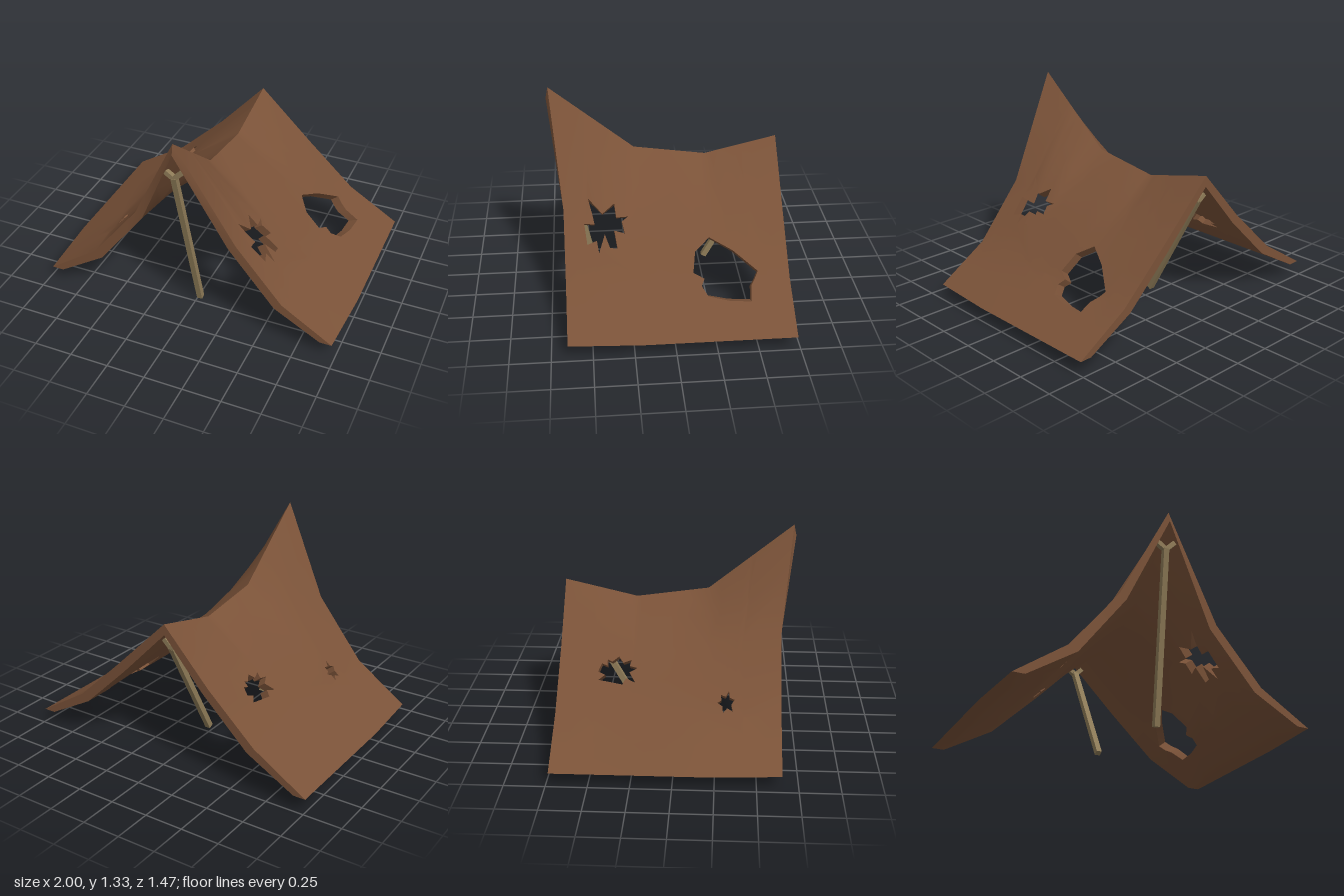
import * as THREE from 'three';
import { toCreasedNormals } from 'three/addons/utils/BufferGeometryUtils.js';

const hide = new THREE.MeshStandardMaterial({ color: 0x7a5238 });
const wood = new THREE.MeshStandardMaterial({ color: 0x8f7c58 });

// Control grid of the sheet: columns across x, rows from back to front
const cols = [-1, -0.65, -0.33, -0.02, 0.35, 0.66, 1];
const innerCols = [-0.92, -0.6, -0.285, -0.02, 0.3, 0.61, 0.92];
const rows = [-0.73, -0.27, 0.19, 0.65];
const heights = [
  [0.09, 0.31, 0.61, 0.95, 0.59, 0.30, 0.09],
  [0.09, 0.31, 0.61, 0.84, 0.57, 0.30, 0.09],
  [0.09, 0.32, 0.64, 0.905, 0.59, 0.30, 0.09],
  [0.09, 0.33, 0.73, 1.335, 0.66, 0.30, 0.09],
];
const drop = [0, 0.04, 0.035, 0.07, 0.035, 0.04, 0];

// Torn holes as [x, z] outlines
const holes = [
  [[0.45, -0.25], [0.52, -0.39], [0.625, -0.535], [0.70, -0.485], [0.79, -0.475], [0.78, -0.34],
    [0.75, -0.215], [0.69, -0.18], [0.65, -0.2], [0.62, -0.135], [0.52, -0.155]],
  [[0.35, 0.25], [0.375, 0.29], [0.43, 0.275], [0.42, 0.34], [0.50, 0.325], [0.50, 0.37], [0.44, 0.40],
    [0.525, 0.44], [0.47, 0.45], [0.49, 0.51], [0.40, 0.525], [0.40, 0.46], [0.30, 0.49], [0.35, 0.41],
    [0.30, 0.33], [0.36, 0.325]],
  [[-0.49, -0.48], [-0.465, -0.44], [-0.45, -0.485], [-0.41, -0.465], [-0.42, -0.43], [-0.39, -0.43],
    [-0.40, -0.40], [-0.375, -0.36], [-0.405, -0.33], [-0.39, -0.28], [-0.42, -0.29], [-0.43, -0.24],
    [-0.45, -0.29], [-0.50, -0.25], [-0.48, -0.31], [-0.51, -0.33]],
  [[-0.60, 0.26], [-0.59, 0.285], [-0.565, 0.28], [-0.575, 0.31], [-0.55, 0.33], [-0.58, 0.335],
    [-0.59, 0.365], [-0.61, 0.345], [-0.64, 0.355], [-0.625, 0.32], [-0.645, 0.295], [-0.615, 0.29]],
];

function locate(list, t) {
  let i = 0;
  while (i < list.length - 2 && t > list[i + 1]) i++;
  return [i, (t - list[i]) / (list[i + 1] - list[i])];
}

// Point on the outer or inner face above sheet coordinates (u, v)
function surfacePoint({ x: u, y: v }, inner) {
  const [i, s] = locate(cols, u), [j, t] = locate(rows, v);
  const mix = (a, b, k) => a + (b - a) * k;
  const corner = (a) => mix(heights[j][a], heights[j + 1][a], t);
  const lift = i === 2 ? s : i === 3 ? 1 - s : 0;
  const front = Math.max(0, (v - 0.19) / 0.46);
  const x = inner ? mix(innerCols[i], innerCols[i + 1], s) : u;
  const y = mix(corner(i), corner(i + 1), s) - (inner ? mix(drop[i], drop[i + 1], s) : 0);
  return [x * (1 - 0.025 * front), y, v + lift * front * (inner ? 0.085 : 0.07)];
}

// Grid lines (with midlines) along which the sheet bends
const withMids = (a) => a.slice(1).flatMap((b, i) => [(a[i] + b) / 2, b]).slice(0, -1);
const lines = [...withMids(cols).map((c) => ['x', c]), ...withMids(rows).map((c) => ['y', c])];

// Split a convex polygon in two along a grid line
function split(poly, [axis, c]) {
  const low = [], high = [];
  poly.forEach((p, k) => {
    const q = poly[(k + 1) % poly.length];
    const a = p[axis] - c, b = q[axis] - c;
    if (a <= 1e-9) low.push(p);
    if (a >= -1e-9) high.push(p);
    if (Math.abs(a) > 1e-9 && Math.abs(b) > 1e-9 && a * b < 0) {
      const m = p.clone().lerp(q, a / (a - b));
      low.push(m);
      high.push(m);
    }
  });
  return [low, high].filter((r) => r.length > 2 && Math.abs(THREE.ShapeUtils.area(r)) > 1e-9);
}

function sheetGeometry() {
  const toLoop = (pts, clockwise) => {
    const loop = pts.map(([x, z]) => new THREE.Vector2(x, z));
    return THREE.ShapeUtils.isClockWise(loop) === clockwise ? loop : loop.reverse();
  };
  const outline = toLoop([[-1, -0.73], [1, -0.73], [1, 0.65], [-1, 0.65]], false);
  const cuts = holes.map((h) => toLoop(h, true));
  const all = [outline, ...cuts].flat();
  const positions = [];
  const tri = (...pts) => pts.forEach((p) => positions.push(...p));

  // Outer and inner faces
  let polys = THREE.ShapeUtils.triangulateShape(outline, cuts).map((f) => f.map((i) => all[i]));
  for (const line of lines) polys = polys.flatMap((p) => split(p, line));
  for (const poly of polys) {
    if (THREE.ShapeUtils.isClockWise(poly)) poly.reverse();
    const top = poly.map((p) => surfacePoint(p, false));
    const under = poly.map((p) => surfacePoint(p, true));
    for (let k = 1; k < poly.length - 1; k++) {
      tri(top[0], top[k + 1], top[k]);
      tri(under[0], under[k], under[k + 1]);
    }
  }

  // Thickness around the rim and the holes
  for (const loop of [outline, ...cuts]) {
    loop.forEach((a, k) => {
      const b = loop[(k + 1) % loop.length];
      const ts = lines.map(([axis, c]) => (c - a[axis]) / (b[axis] - a[axis]))
        .filter((t) => t > 1e-6 && t < 1 - 1e-6).sort((m, n) => m - n);
      const pts = [0, ...ts, 1].map((t) => a.clone().lerp(b, t));
      for (let n = 0; n < pts.length - 1; n++) {
        const [A, B] = [pts[n], pts[n + 1]].map((p) => surfacePoint(p, false));
        const [C, D] = [pts[n], pts[n + 1]].map((p) => surfacePoint(p, true));
        tri(A, B, D);
        tri(A, D, C);
      }
    });
  }
  const geo = new THREE.BufferGeometry();
  geo.setAttribute('position', new THREE.Float32BufferAttribute(positions, 3));
  return toCreasedNormals(geo, 0.6);
}

// Square stick between two points
function stick(name, from, to, width) {
  const a = new THREE.Vector3(...from), b = new THREE.Vector3(...to);
  const dir = b.clone().sub(a);
  const mesh = new THREE.Mesh(new THREE.BoxGeometry(width, dir.length(), width), wood);
  mesh.position.copy(a).add(b).multiplyScalar(0.5);
  mesh.quaternion.setFromUnitVectors(new THREE.Vector3(0, 1, 0), dir.normalize());
  mesh.name = name;
  return mesh;
}

// Pole with a forked top
function forkedPole(name, foot, top) {
  const group = new THREE.Group();
  group.name = name;
  const [x, y, z] = top;
  group.add(
    stick('shaft', foot, top, 0.036),
    stick('rightProng', [x, y - 0.005, z], [x - 0.06, y + 0.035, z], 0.03),
    stick('leftProng', [x, y - 0.005, z], [x + 0.06, y + 0.055, z], 0.03),
  );
  return group;
}

export function createModel() {
  const model = new THREE.Group();
  model.name = 'tent';
  const sheet = new THREE.Mesh(sheetGeometry(), hide);
  sheet.name = 'hideCover';
  model.add(
    sheet,
    forkedPole('frontPole', [0.015, 0.005, 0.45], [-0.03, 1.085, 0.69]),
    forkedPole('backPole', [-0.02, 0.065, -0.275], [-0.025, 0.78, -0.665]),
  );
  return model;
}
